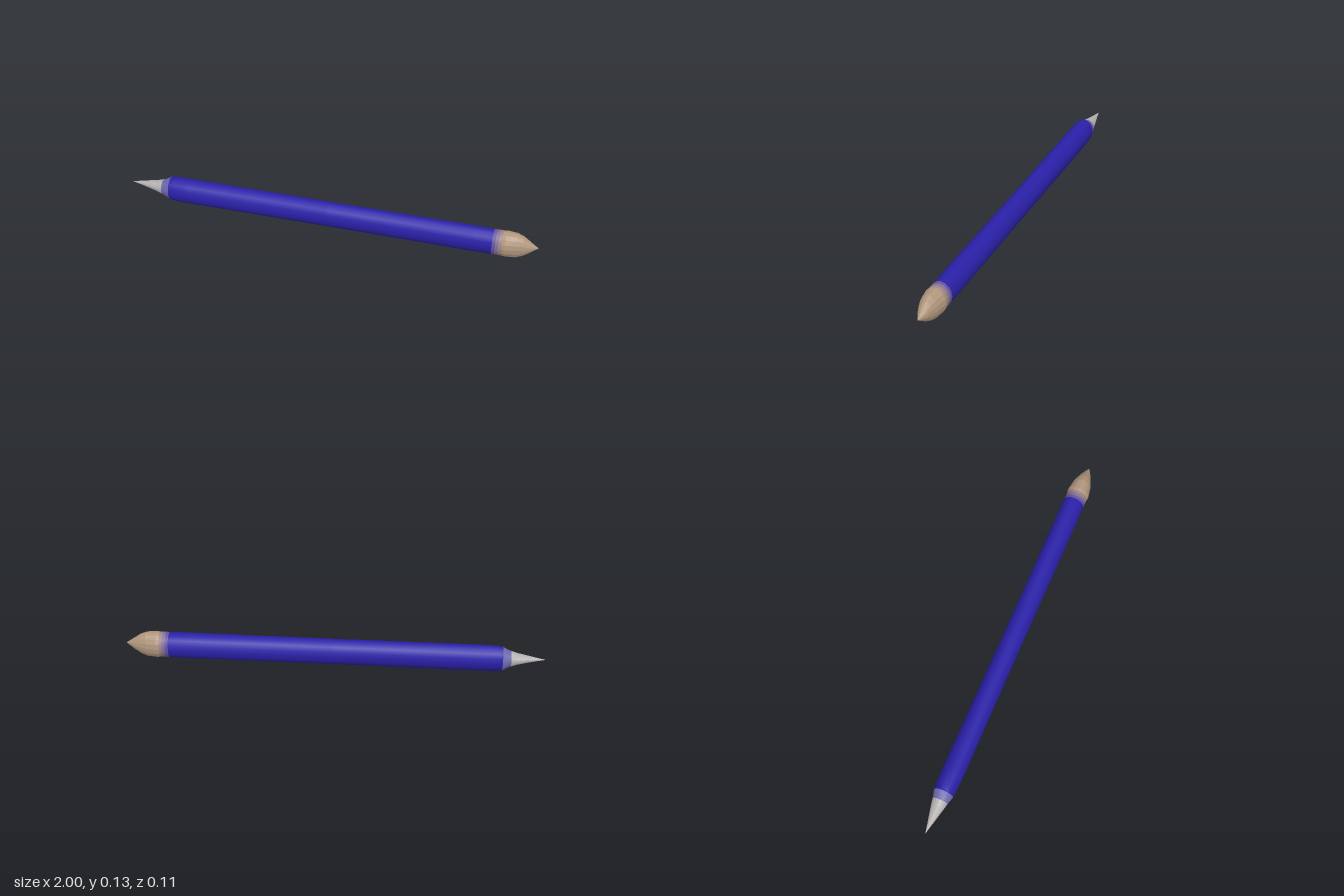
import * as THREE from 'three';

const SIDES = 16;

// Skins oval rings along x; each station is [x, centreY, halfHeight, halfWidth].
function loft(name, color, stations, flatShading = false) {
  const position = [], index = [];
  for (const [x, y, h, w] of stations) {
    for (let i = 0; i < SIDES; i++) {
      const a = (i / SIDES) * Math.PI * 2;
      position.push(x, y + h * Math.cos(a), w * Math.sin(a));
    }
  }
  for (let j = 0; j < stations.length - 1; j++) {
    for (let i = 0; i < SIDES; i++) {
      const k = (i + 1) % SIDES;
      const a = j * SIDES + i, b = j * SIDES + k;
      index.push(a, b, a + SIDES, b, b + SIDES, a + SIDES);
    }
  }
  const geometry = new THREE.BufferGeometry();
  geometry.setAttribute('position', new THREE.Float32BufferAttribute(position, 3));
  geometry.setIndex(index);
  geometry.computeVertexNormals();
  const mesh = new THREE.Mesh(geometry, new THREE.MeshStandardMaterial({ color, flatShading }));
  mesh.name = name;
  return mesh;
}

export function createModel() {
  const group = new THREE.Group();
  group.name = 'brushPen';
  const blue = 0x2a20a8, tan = 0xb0967c, grey = 0xb4b0b0;
  const mix = (a, b, t) => new THREE.Color(a).lerp(new THREE.Color(b), t);

  // Long oval barrel
  group.add(loft('barrel', blue, [
    [-0.8, 0.067, 0.06, 0.048], [-0.77, 0.067, 0.065, 0.05], [-0.7, 0.067, 0.065, 0.053],
    [0, 0.067, 0.064, 0.051], [0.7, 0.067, 0.065, 0.053], [0.79, 0.067, 0.064, 0.052],
  ]));

  // Short collars fading from the barrel colour to the bristles
  const collar = [0.79, 0.805, 0.82, 0.835];
  for (let i = 0; i < 3; i++) {
    group.add(loft('bristleCollar' + (i + 1), mix(blue, tan, (i + 1) / 4),
      [collar[i], collar[i + 1]].map((x) => [x, 0.067, 0.064, 0.052])));
  }

  // Rounded bristle head drawn to a point
  group.add(loft('bristles', tan, [
    [0.835, 0.067, 0.064, 0.052], [0.85, 0.067, 0.066, 0.055], [0.9, 0.067, 0.063, 0.046],
    [0.93, 0.067, 0.051, 0.036], [0.96, 0.067, 0.03, 0.024], [0.98, 0.068, 0.015, 0.013],
    [1, 0.069, 0.001, 0.001],
  ], true));

  // Shoulder narrowing from the barrel to the hard tip
  group.add(loft('shoulder', mix(blue, grey, 0.3), [
    [-0.84, 0.068, 0.038, 0.037], [-0.82, 0.067, 0.047, 0.043], [-0.8, 0.067, 0.06, 0.048],
  ]));

  // Slender hard tip
  group.add(loft('tip', grey, [
    [-1, 0.07, 0.001, 0.001], [-0.96, 0.07, 0.008, 0.01], [-0.91, 0.07, 0.018, 0.022],
    [-0.87, 0.069, 0.027, 0.031], [-0.84, 0.068, 0.038, 0.037],
  ], true));

  return group;
}
